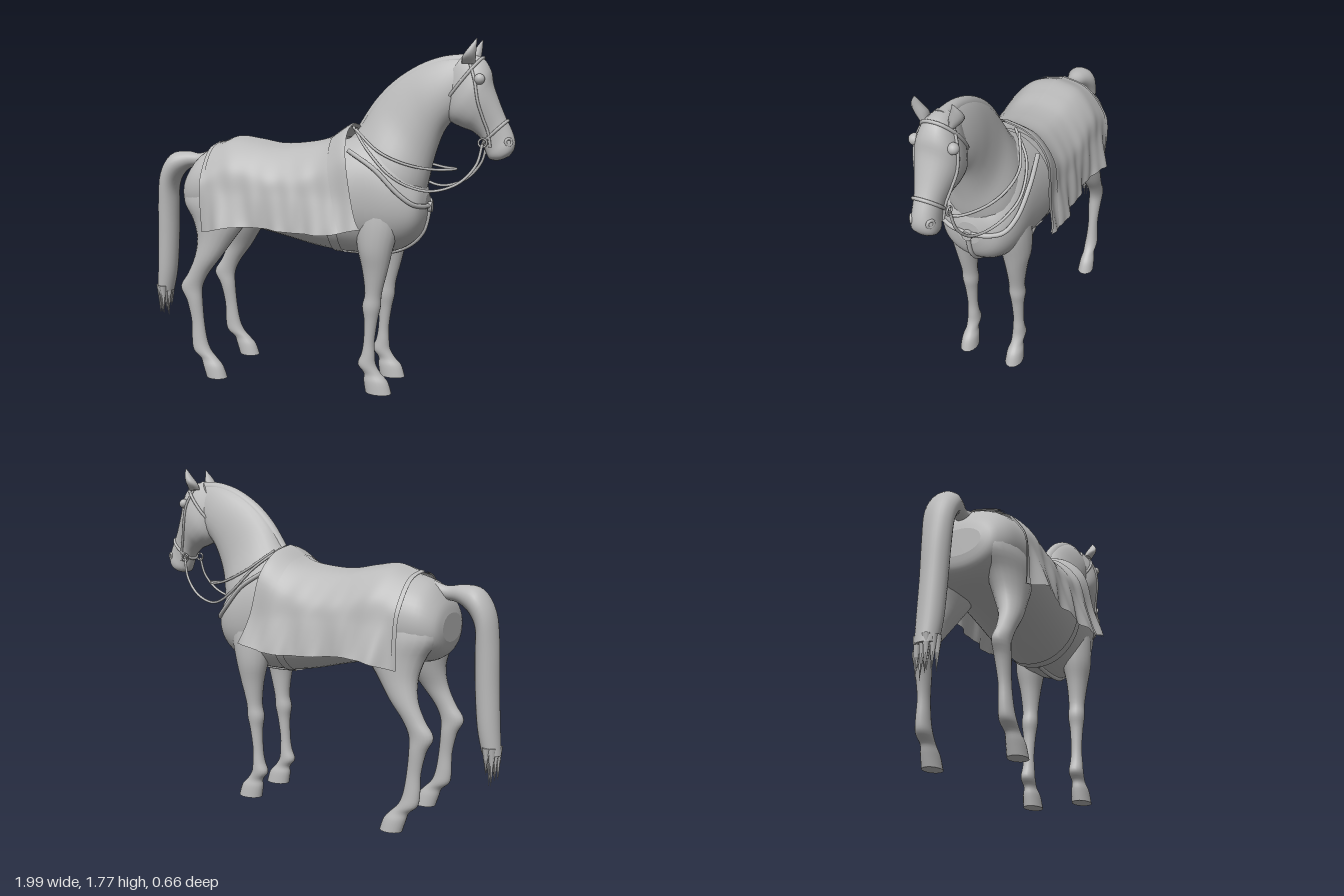
import * as THREE from 'three';

const grey = new THREE.MeshStandardMaterial({ color: 0xbababa, side: THREE.DoubleSide });
grey.name = 'grey';

const V = (x, y, z) => new THREE.Vector3(x, y, z);
const pow = (v, p) => Math.sign(v) * Math.abs(v) ** p;

// Catmull-Rom through equally spaced values, t in index units
function spline(a, t) {
  const n = a.length - 1, i = THREE.MathUtils.clamp(Math.floor(t), 0, n - 1), f = t - i;
  const p0 = a[Math.max(i - 1, 0)], p1 = a[i], p2 = a[i + 1], p3 = a[Math.min(i + 2, n)];
  return p1 + 0.5 * f * (p2 - p0 + f * (2 * p0 - 5 * p1 + 4 * p2 - p3 + f * (3 * (p1 - p2) + p3 - p0)));
}

// Surface through rings [ax, ay, bx, by, halfWidth, z]: a and b are opposite edges in side profile
function surface(rows, taper = 0, square = 1) {
  const col = [0, 1, 2, 3, 4, 5].map(k => rows.map(r => r[k] ?? 0));
  return (t, th, grow = 0) => {
    const [ax, ay, bx, by, w, z] = col.map(c => spline(c, t));
    const len = Math.hypot(ax - bx, ay - by) || 1;
    const c = pow(Math.cos(th), square) * (0.5 + grow / len);
    return V((ax + bx) / 2 + (ax - bx) * c, (ay + by) / 2 + (ay - by) * c,
      z + pow(Math.sin(th), square) * (w + grow) * (1 - taper * Math.cos(th)));
  };
}

function buildMesh(name, pos, idx) {
  const g = new THREE.BufferGeometry();
  g.setAttribute('position', new THREE.Float32BufferAttribute(pos, 3));
  g.setIndex(idx);
  g.computeVertexNormals();
  const m = new THREE.Mesh(g, grey);
  m.name = name;
  return m;
}

// Closed, capped loft with smooth sides
function loft(name, rows, { taper = 0, square = 1, sides = 28, steps = 4 } = {}) {
  const f = surface(rows, taper, square), n = (rows.length - 1) * steps, pos = [], idx = [];
  const r0 = rows[rows.length >> 1], r1 = rows[(rows.length >> 1) - 1];
  const dx = r0[0] + r0[2] - r1[0] - r1[2], dy = r0[1] + r0[3] - r1[1] - r1[3];
  const flip = (r0[1] - r0[3]) * dx - (r0[0] - r0[2]) * dy < 0;
  const tri = (a, b, c) => flip ? idx.push(a, c, b) : idx.push(a, b, c);
  const ring = t => { for (let j = 0; j < sides; j++) pos.push(...f(t, j / sides * Math.PI * 2).toArray()); };
  for (let i = 0; i <= n; i++) ring(i / steps);
  for (let i = 0; i < n; i++) for (let j = 0; j < sides; j++) {
    const k = (j + 1) % sides, a = i * sides, b = a + sides;
    tri(a + j, a + k, b + j);
    tri(a + k, b + k, b + j);
  }
  for (const end of [0, 1]) {
    const base = pos.length / 3, t = end * (rows.length - 1);
    ring(t);
    pos.push(...f(t, 0).add(f(t, Math.PI)).multiplyScalar(0.5).toArray());
    for (let j = 0; j < sides; j++) {
      const k = (j + 1) % sides;
      if (end) tri(base + j, base + k, base + sides);
      else tri(base + k, base + j, base + sides);
    }
  }
  return buildMesh(name, pos, idx);
}

// Open sheet from f(u, v)
function sheet(name, f, nu, nv) {
  const pos = [], idx = [];
  for (let i = 0; i <= nu; i++) for (let j = 0; j <= nv; j++) pos.push(...f(i / nu, j / nv).toArray());
  for (let i = 0; i < nu; i++) for (let j = 0; j < nv; j++) {
    const a = i * (nv + 1) + j, b = a + nv + 1;
    idx.push(a, a + 1, b, a + 1, b + 1, b);
  }
  return buildMesh(name, pos, idx);
}

function cord(name, pts, r = 0.008, closed = false) {
  const m = new THREE.Mesh(new THREE.TubeGeometry(new THREE.CatmullRomCurve3(pts, closed), 48, r, 8, closed), grey);
  m.name = name;
  return m;
}

export function createModel() {
  const horse = new THREE.Group();
  horse.name = 'horse';
  const add = (...m) => horse.add(...m);

  // Trunk: x, top, bottom, half width
  const trunk = [
    [-0.735, 1.06, 0.92, 0.12], [-0.715, 1.12, 0.86, 0.18], [-0.65, 1.2, 0.82, 0.225], [-0.55, 1.24, 0.81, 0.243],
    [-0.42, 1.27, 0.81, 0.25], [-0.2, 1.25, 0.77, 0.25], [0, 1.24, 0.725, 0.25], [0.15, 1.29, 0.705, 0.24],
    [0.3, 1.32, 0.705, 0.225], [0.42, 1.25, 0.725, 0.21], [0.5, 1.15, 0.77, 0.18], [0.55, 1.08, 0.83, 0.135],
    [0.572, 1.02, 0.9, 0.06]].map(([x, t, b, w]) => [x, t, x, b, w]);
  add(loft('trunk', trunk, { square: 0.95, sides: 40 }));
  const onTrunk = surface(trunk, 0, 0.95);

  // Neck and short mane
  const neck = [
    [0.16, 1.29, 0.5, 0.85, 0.19], [0.22, 1.355, 0.56, 1.03, 0.165], [0.3, 1.475, 0.59, 1.16, 0.118],
    [0.4, 1.575, 0.615, 1.25, 0.1], [0.52, 1.65, 0.645, 1.33, 0.094], [0.64, 1.69, 0.68, 1.38, 0.085],
    [0.76, 1.7, 0.73, 1.43, 0.065]];
  add(loft('neck', neck, { taper: 0.2 }));
  add(loft('mane', neck.slice(1).map(([ax, ay, bx, by]) => {
    const dx = ax - bx, dy = ay - by;
    return [ax + dx * 0.025, ay + dy * 0.025, ax - dx * 0.18, ay - dy * 0.18, 0.032];
  })));

  // Head, from poll to lips
  const head = [
    [0.74, 1.705, 0.64, 1.56, 0.055], [0.82, 1.69, 0.645, 1.47, 0.085], [0.865, 1.63, 0.67, 1.39, 0.105],
    [0.88, 1.56, 0.73, 1.355, 0.1], [0.91, 1.48, 0.785, 1.335, 0.08], [0.94, 1.41, 0.83, 1.295, 0.064],
    [0.975, 1.34, 0.85, 1.24, 0.06], [0.99, 1.29, 0.87, 1.205, 0.062], [0.985, 1.25, 0.905, 1.198, 0.052],
    [0.965, 1.22, 0.93, 1.203, 0.025]];
  add(loft('head', head, { square: 0.9 }));
  const onHead = surface(head, 0, 0.9);

  // Tail with ragged strands
  add(loft('tail', [
    [-0.64, 1.21, -0.65, 1.12, 0.04], [-0.71, 1.188, -0.71, 1.12, 0.033], [-0.79, 1.198, -0.77, 1.105, 0.055],
    [-0.88, 1.18, -0.825, 1.06, 0.08], [-0.945, 1.08, -0.855, 0.99, 0.078], [-0.968, 0.92, -0.855, 0.88, 0.07],
    [-0.975, 0.72, -0.86, 0.7, 0.064], [-0.985, 0.52, -0.875, 0.52, 0.06], [-0.995, 0.39, -0.9, 0.4, 0.05]]));
  for (let i = 0; i < 12; i++) {
    const a = i * 2.4, r = Math.sqrt((i + 0.5) / 12), h = 0.13 + 0.06 * ((i * 7) % 5) / 4;
    const lock = new THREE.Mesh(new THREE.ConeGeometry(0.02, h, 6), grey);
    lock.name = 'tailStrand';
    lock.rotation.x = Math.PI;
    lock.position.set(-0.948 + 0.034 * r * Math.cos(a), 0.43 - h / 2, 0.052 * r * Math.sin(a));
    add(lock);
  }

  // Legs: y, back x, front x, half width, z
  const foreleg = [
    [1.02, 0.24, 0.46, 0.075, 0.12], [0.88, 0.235, 0.46, 0.085, 0.13], [0.75, 0.25, 0.43, 0.075, 0.14],
    [0.64, 0.275, 0.405, 0.055, 0.14], [0.52, 0.288, 0.375, 0.042, 0.137], [0.45, 0.275, 0.37, 0.043, 0.137],
    [0.38, 0.285, 0.355, 0.034, 0.137], [0.27, 0.283, 0.34, 0.028, 0.137], [0.2, 0.272, 0.342, 0.032, 0.137],
    [0.145, 0.253, 0.348, 0.036, 0.137], [0.1, 0.285, 0.375, 0.032, 0.137], [0.06, 0.285, 0.412, 0.042, 0.137],
    [0, 0.295, 0.432, 0.047, 0.137]];
  const hindleg = [
    [1.06, -0.7, -0.34, 0.07, 0.15], [0.95, -0.72, -0.34, 0.09, 0.155], [0.85, -0.665, -0.36, 0.088, 0.16],
    [0.75, -0.635, -0.43, 0.072, 0.175], [0.65, -0.645, -0.5, 0.052, 0.195], [0.56, -0.685, -0.57, 0.04, 0.2],
    [0.485, -0.73, -0.605, 0.038, 0.2], [0.41, -0.695, -0.607, 0.036, 0.2], [0.3, -0.67, -0.598, 0.028, 0.202],
    [0.2, -0.668, -0.582, 0.032, 0.204], [0.14, -0.658, -0.558, 0.036, 0.206], [0.1, -0.615, -0.52, 0.032, 0.208],
    [0.06, -0.6, -0.485, 0.04, 0.21], [0, -0.58, -0.463, 0.045, 0.21]];

  for (const s of [1, -1]) {
    const leg = rows => rows.map(([y, b, f, w, z]) => [f, y, b, y, w, s * z]);
    add(loft('foreleg', leg(foreleg), { sides: 20 }), loft('hindLeg', leg(hindleg), { sides: 20 }));

    // Ears, eyes, nostrils
    add(loft('ear', [[0.8, 1.655, 0.735, 1.66, 0.018, s * 0.065], [0.805, 1.7, 0.74, 1.69, 0.033, s * 0.082],
      [0.808, 1.74, 0.765, 1.725, 0.024, s * 0.09], [0.81, 1.775, 0.803, 1.772, 0.003, s * 0.086]], { sides: 12 }));
    const eye = new THREE.Mesh(new THREE.SphereGeometry(0.026, 16, 12), grey);
    eye.name = 'eye';
    eye.position.set(0.825, 1.585, s * 0.09);
    const nostril = new THREE.Mesh(new THREE.TorusGeometry(0.016, 0.007, 8, 16), grey);
    nostril.name = 'nostril';
    nostril.position.set(0.965, 1.29, s * 0.046);
    nostril.rotation.y = s * 0.5;
    const bit = new THREE.Mesh(new THREE.TorusGeometry(0.02, 0.005, 8, 16), grey);
    bit.name = 'bitRing';
    bit.position.set(0.845, 1.285, s * 0.066);
    add(eye, nostril, bit);

    // Bridle cheek strap, rein and breast strap
    add(cord('cheekStrap', [0.8, 1.8, 3, 4, 5, 6].map((t, i) => onHead(t, s * Math.PI * (0.3 + 0.07 * i), 0.003)), 0.007));
    add(cord('rein', [V(0.2, 1.35, s * 0.07), V(0.3, 1.25, s * 0.175), V(0.42, 1.13, s * 0.2), V(0.52, 1.07, s * 0.17),
      V(0.62, 1.05, s * 0.13), V(0.74, 1.09, s * 0.1), V(0.82, 1.18, s * 0.08), V(0.845, 1.28, s * 0.068)], 0.007));
    add(cord('breastStrap', [onTrunk(7.4, s * 0.8, 0.03), onTrunk(8.4, s * 1.1, 0.02), onTrunk(9.5, s * 1.3, 0.012),
      onTrunk(10.5, s * 1.4, 0.008), onTrunk(11.4, s * 1.45, 0.006), V(0.582, 0.96, 0)], 0.012));
  }

  // Bridle bands
  const band = (name, t) => cord(name,
    Array.from({ length: 16 }, (_, i) => onHead(t, i / 8 * Math.PI, 0.002)), 0.008, true);
  add(band('noseband', 5.3), band('browband', 1.1));

  // Loose neck strap, chest strap, buckle and girth
  const loop = [[0.22, 1.34, 0.1], [0.36, 1.235, 0.165], [0.5, 1.175, 0.145], [0.63, 1.15, 0.08]];
  add(cord('neckStrap', [...loop.map(p => V(...p)), V(0.71, 1.15, 0),
    ...loop.reverse().map(([x, y, z]) => V(x, y, -z))], 0.007));
  add(cord('chestStrap', [V(0.58, 0.95, 0), ...[11.6, 11, 10, 9, 8, 7].map(t => onTrunk(t, Math.PI, 0.003))], 0.012));
  const buckle = new THREE.Mesh(new THREE.CylinderGeometry(0.026, 0.026, 0.02, 20), grey);
  buckle.name = 'buckle';
  buckle.rotation.z = Math.PI / 2;
  buckle.position.set(0.585, 0.955, 0);
  add(buckle);
  add(sheet('girth', (u, v) => onTrunk(6.7 + 0.35 * u, v * Math.PI * 2, 0.007), 3, 48));

  // Draped blanket: ridge height, hem height and hem half width from rear to front
  const ridge = [1.25, 1.29, 1.278, 1.258, 1.265, 1.29, 1.352];
  const hem = [0.8, 0.835, 0.845, 0.835, 0.83, 0.835, 0.87];
  const flare = [0.268, 0.325, 0.285, 0.295, 0.3, 0.318, 0.3];
  const drape = (u, v, lift) => {
    const side = v * 2 - 1, s = Math.abs(side), k = Math.min(u, 1) * 6;
    const top = spline(ridge, k), low = spline(hem, k), wide = spline(flare, k);
    const y = spline([top, top - 0.035, top - 0.15, 1.0, low], s * 4);
    const z = spline([0, 0.135, 0.238, 0.27, wide], s * 4);
    const x = THREE.MathUtils.lerp(-0.585 + 0.025 * s, 0.175 + 0.125 * s * s, u);
    const fold = (0.007 * Math.sin(x * 34 + s * 5) + 0.004 * Math.sin(x * 61 - s * 9)) * s * s;
    return V(x, y + lift * (1 - s), Math.sign(side) * (z + (fold + lift) * Math.min(1, s * 3)));
  };
  add(sheet('blanket', (u, v) => drape(u, v, 0), 64, 56));
  add(sheet('blanketCollar', (u, v) => drape(0.89 + 0.125 * u, v, 0.004 + 0.012 * u), 8, 56));
  add(sheet('blanketRearHem', (u, v) => drape(0.03 * u - 0.004, v, 0.006), 3, 56));
  return horse;
}
